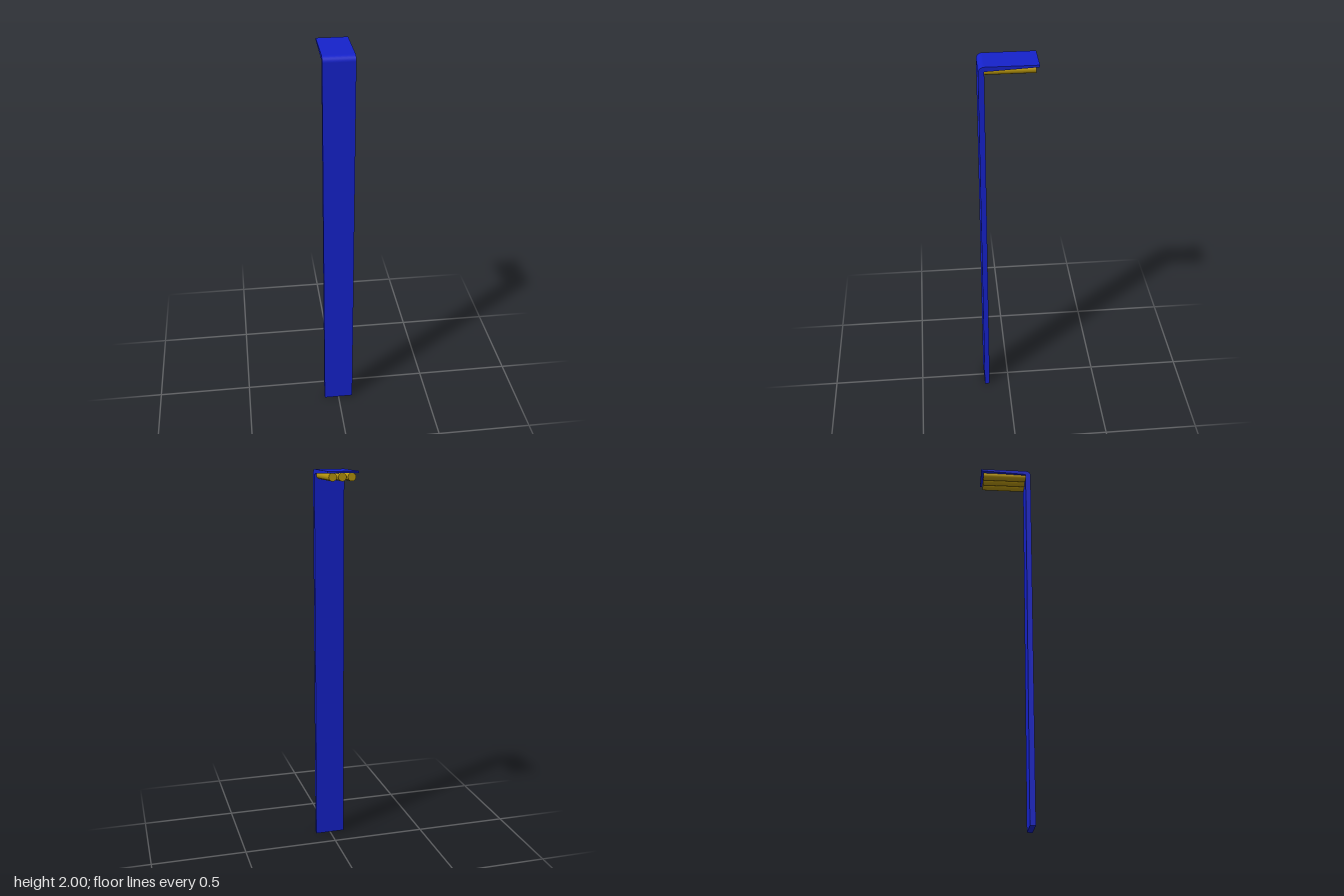
import * as THREE from 'three';

export function createModel() {
  const group = new THREE.Group();
  const blue = new THREE.MeshStandardMaterial({ color: 0x1522cc });
  const yellow = new THREE.MeshStandardMaterial({ color: 0xb8960c });
  const width = 0.156;
  const front = 0.139, back = -0.139, inner = 0.111, bend = 0.028;

  // Side profile: upright post, rounded bend, tapering arm (shape x = z, shape y = y)
  const profile = new THREE.Shape();
  profile.moveTo(inner, 0);
  profile.lineTo(front, 0);
  profile.lineTo(front, 2 - bend);
  profile.absarc(front - bend, 2 - bend, bend, 0, Math.PI / 2, false);
  profile.lineTo(back, 2);
  profile.lineTo(back, 1.99);
  profile.lineTo(inner, 1.977);
  profile.closePath();

  const bodyGeometry = new THREE.ExtrudeGeometry(profile, {
    depth: width, bevelEnabled: false, curveSegments: 16,
  });
  bodyGeometry.translate(0, 0, -width / 2);
  bodyGeometry.rotateY(-Math.PI / 2);
  const body = new THREE.Mesh(bodyGeometry, blue);
  body.name = 'postAndArm';
  group.add(body);

  // Three lamp tubes under the arm
  const tubeFront = inner, tubeBack = -0.125, radius = 0.02;
  const tubeGeometry = new THREE.CylinderGeometry(radius, radius, tubeFront - tubeBack, 32);
  tubeGeometry.rotateX(Math.PI / 2);
  const lamps = new THREE.Group();
  lamps.name = 'lampTubes';
  for (const i of [-1, 0, 1]) {
    const tube = new THREE.Mesh(tubeGeometry, yellow);
    tube.name = 'lampTube';
    tube.position.set(i * 0.048, 1.971, (tubeFront + tubeBack) / 2);
    lamps.add(tube);
  }
  group.add(lamps);
  return group;
}
